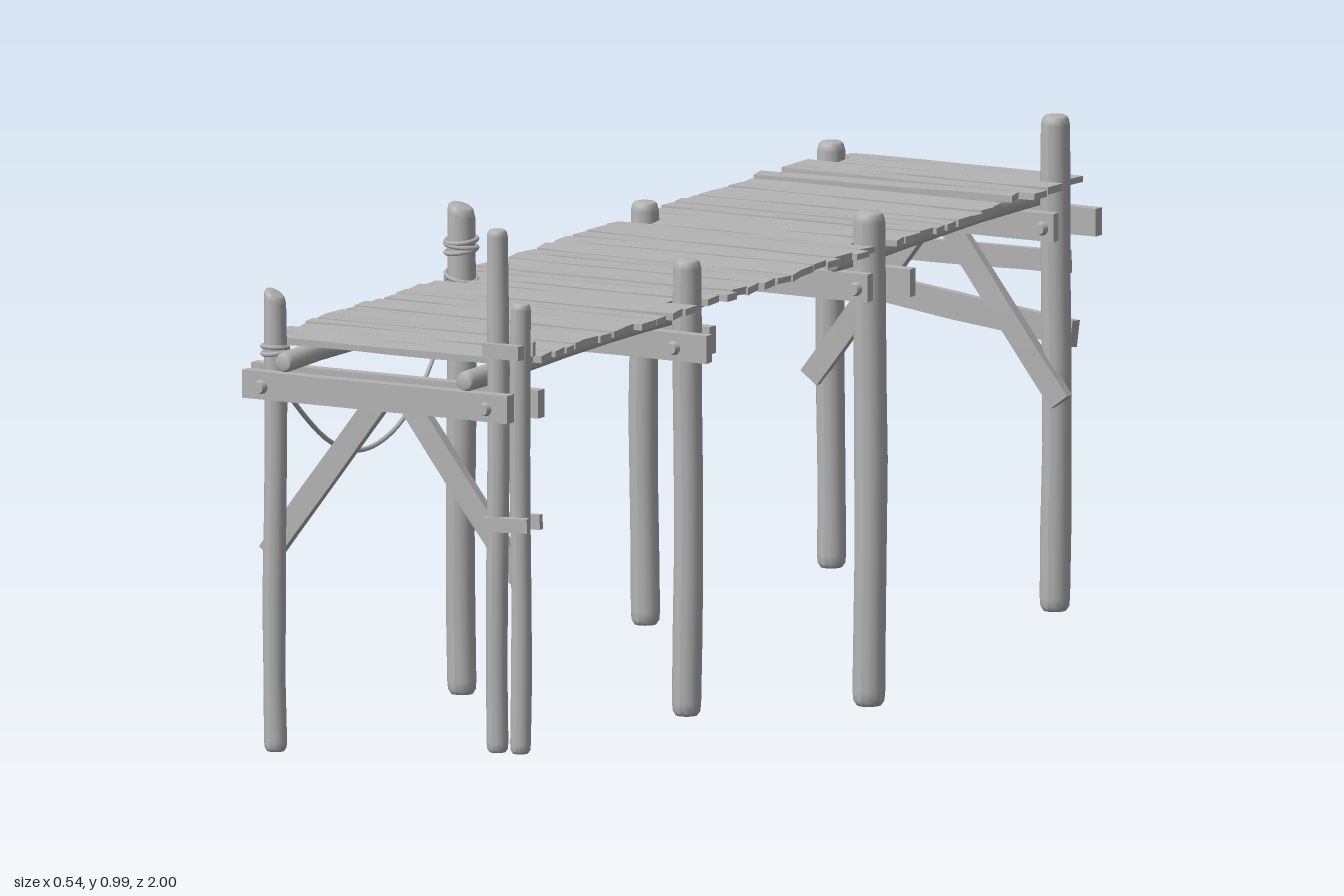
import * as THREE from 'three';

export function createModel() {
  const root = new THREE.Group();
  root.name = 'woodenPier';
  const wood = new THREE.MeshStandardMaterial({ color: 0xb4b4b4 });
  wood.name = 'weatheredGrey';

  let seed = 7;
  const rnd = (a, b) => {
    seed = (seed * 16807) % 2147483647;
    return a + (b - a) * (seed / 2147483647);
  };
  const add = (name, geo, x = 0, y = 0, z = 0) => {
    const m = new THREE.Mesh(geo, wood);
    m.name = name;
    m.position.set(x, y, z);
    root.add(m);
    return m;
  };

  // Board with slightly wavy, worn edges
  const board = (name, w, h, d, x, y, z, wear = 0.002) => {
    const geo = new THREE.BoxGeometry(w, h, d, 6, 1, 1);
    const p = geo.attributes.position;
    const a = rnd(0, 6), b = rnd(0, 6), skew = rnd(-2, 2) * wear;
    for (let i = 0; i < p.count; i++) {
      const px = p.getX(i), s = Math.sign(p.getZ(i)), sy = Math.sign(p.getY(i));
      p.setZ(i, p.getZ(i) + wear * Math.sin(px * 18 + (s > 0 ? a : b)));
      p.setX(i, px + (Math.abs(px) > w * 0.49 ? s * skew : 0));
      p.setY(i, p.getY(i) + sy * wear * 0.3 * Math.sin(px * 25 + b));
    }
    geo.computeVertexNormals();
    return add(name, geo, x, y, z);
  };

  // Round log with worn ends, gently crooked, with a slanted top
  const log = (name, r, y0, y1, x, z, slant = 0) => {
    const L = y1 - y0, c = 0.3 * r;
    const prof = [[0, 0], [r * 0.75, 0], [r * 0.95, c], [r, 3 * c]];
    for (let i = 1; i < 6; i++) prof.push([r * rnd(0.95, 1.03), L * i / 6]);
    prof.push([r * 0.96, L - 2 * c], [r * 0.85, L - c * 0.5], [r * 0.7, L], [0, L]);
    const geo = new THREE.LatheGeometry(prof.map(q => new THREE.Vector2(...q)), 16);
    const p = geo.attributes.position, ph = rnd(0, 6);
    for (let i = 0; i < p.count; i++) {
      const t = p.getY(i) / L, px = p.getX(i);
      if (t > 0.9) p.setY(i, p.getY(i) + slant * (px - r));
      p.setX(i, px + 0.002 * Math.sin(t * 7 + ph));
      p.setZ(i, p.getZ(i) + 0.002 * Math.cos(t * 6 + ph));
    }
    geo.computeVertexNormals();
    return add(name, geo, x, y0, z);
  };

  // Posts: radius, bottom, top, x, z, slant
  [
    [0.019, 0.09, 0.84, -0.212, 0.945, -0.5],
    [0.018, 0.125, 0.99, 0.203, 0.945, 0],
    [0.017, 0.125, 0.87, 0.24, 0.935, 0],
    [0.024, 0.083, 0.885, -0.217, 0.31, -0.3],
    [0.024, 0.085, 0.84, 0.205, 0.31, 0],
    [0.024, 0.1, 0.8, -0.217, -0.305, 0],
    [0.027, 0.003, 0.82, 0.204, -0.305, 0],
    [0.024, 0.095, 0.8, -0.216, -0.93, 0],
    [0.025, 0.06, 0.88, 0.204, -0.93, 0],
  ].forEach(a => log('post', ...a));

  // Paired cross beams with bolt heads: z, x ends, outward direction
  [
    [0.978, -0.25, 0.245, 1], [0.91, -0.27, 0.265, -1],
    [0.345, -0.24, 0.265, 1], [0.272, -0.265, 0.23, -1],
    [-0.268, -0.27, 0.225, 1], [-0.345, -0.25, 0.262, -1],
    [-0.893, -0.27, 0.225, 1], [-0.97, -0.25, 0.262, -1],
  ].forEach(([z, x0, x1, dir]) => {
    board('crossBeam', x1 - x0, 0.046, 0.021, (x0 + x1) / 2, 0.702, z, 0.001);
    for (const x of [-0.214, 0.204]) {
      const bolt = add('boltHead', new THREE.CylinderGeometry(0.009, 0.012, 0.012, 12), x, 0.7, z + dir * 0.0155);
      bolt.rotation.x = dir * Math.PI / 2;
    }
  });

  // Round stringers, staggered from bay to bay
  [
    [0.27, 0.985, -0.175, 0.16],
    [-0.37, 0.37, -0.14, 0.122],
    [-1, -0.25, -0.175, 0.16],
  ].forEach(([z0, z1, xl, xr]) => {
    for (const x of [xl, xr]) {
      log('stringer', 0.0175, 0, z1 - z0, x, 0).rotation.x = Math.PI / 2;
      root.children[root.children.length - 1].position.set(x, 0.742, z0);
    }
  });

  // Deck planks, cut short between posts
  const postZ = [0.945, 0.31, -0.305, -0.93];
  const plank = (z, d) => {
    const short = postZ.some(q => Math.abs(z - q) < 0.03);
    const x0 = short ? -0.192 : -0.247 + rnd(-0.006, 0.006);
    const x1 = short ? 0.18 : 0.232 + rnd(-0.008, 0.008);
    const m = board('deckPlank', x1 - x0, 0.011, d, (x0 + x1) / 2, 0.765 + rnd(-0.001, 0.002), z);
    m.rotation.set(rnd(-0.04, 0.04), rnd(-0.012, 0.012), rnd(-0.005, 0.005));
  };
  for (let z = -0.692; z < 0.93;) {
    const d = rnd(0.034, 0.047);
    plank(z + d / 2 - 0.02, d);
    z += d + 0.003;
  }
  board('deckPlank', 0.43, 0.011, 0.034, 0, 0.765, -0.981);
  plank(-0.935, 0.045);
  plank(-0.885, 0.042);
  plank(-0.837, 0.044);
  board('loosePlank', 0.465, 0.011, 0.04, -0.025, 0.767, -0.772).rotation.y = 0.07;

  // Diagonal knee braces on the end frames
  for (const z of [0.915, -0.905]) {
    for (const s of [-1, 1]) {
      const b = board('kneeBrace', 0.36, 0.038, 0.018, s * 0.125 - 0.005, 0.555, z, 0.001);
      b.rotation.z = -s * 0.925;
    }
  }

  // Boards nailed across the back frame
  board('backBoard', 0.47, 0.037, 0.014, -0.022, 0.63, -0.963).rotation.z = 0.01;
  board('backBoard', 0.45, 0.044, 0.014, -0.003, 0.542, -0.963).rotation.z = -0.125;

  // Cleats joining the doubled front post
  for (const z of [0.962, 0.918]) {
    board('postCleat', 0.068, 0.024, 0.014, 0.222, 0.793, z, 0.001);
    board('postCleat', 0.082, 0.024, 0.014, 0.228, 0.506, z, 0.001).rotation.z = 0.04;
  }

  // Rope wraps around the posts
  const wrap = (x, y, z, r, tx, tz) => {
    const m = add('ropeWrap', new THREE.TorusGeometry(r, 0.004, 6, 24), x, y, z);
    m.rotation.set(Math.PI / 2 + tx, tz, 0);
  };
  [[0.835, 0.1, 0.05], [0.826, -0.05, -0.1], [0.818, 0.08, 0.12], [0.775, 0.1, -0.3]]
    .forEach(([y, a, b]) => wrap(-0.217, y, 0.31, 0.026, a, b));
  wrap(-0.212, 0.752, 0.945, 0.021, 0.1, 0.1);
  wrap(-0.212, 0.76, 0.945, 0.021, -0.1, 0);

  // Rope sagging between the two posts
  const path = new THREE.CatmullRomCurve3([
    [-0.225, 0.755, 0.93], [-0.243, 0.70, 0.88], [-0.243, 0.61, 0.78], [-0.243, 0.555, 0.69],
    [-0.243, 0.53, 0.59], [-0.243, 0.55, 0.48], [-0.243, 0.61, 0.39], [-0.245, 0.69, 0.325],
    [-0.243, 0.775, 0.315],
  ].map(q => new THREE.Vector3(...q)));
  add('hangingRope', new THREE.TubeGeometry(path, 48, 0.004, 6));

  return root;
}
